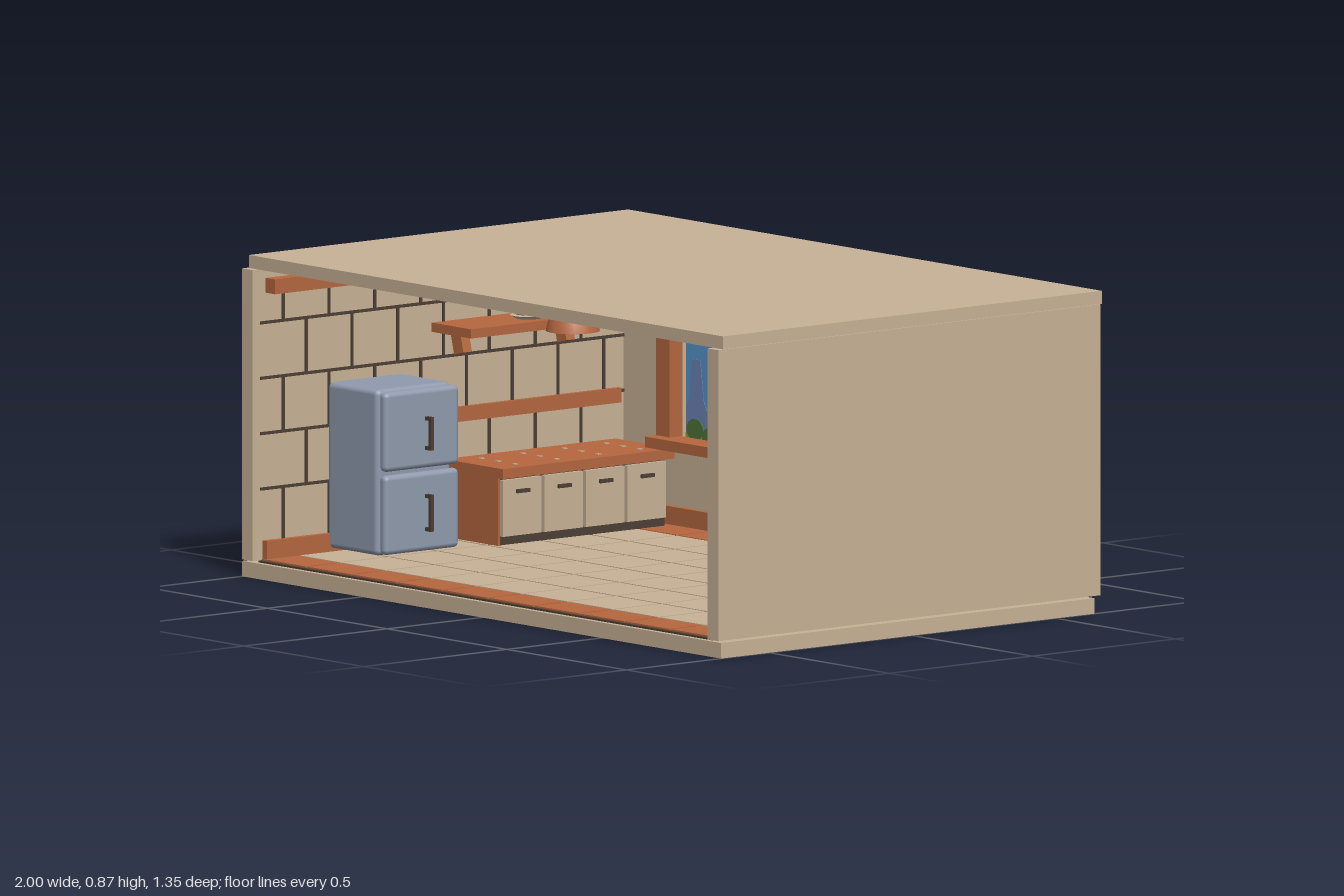
import * as THREE from 'three';
import { RoundedBoxGeometry } from 'three/addons/geometries/RoundedBoxGeometry.js';

const mat = (name, color, side = THREE.FrontSide) => {
  const m = new THREE.MeshStandardMaterial({ color, side });
  m.name = name;
  return m;
};

export function createModel() {
  const root = new THREE.Group();
  root.name = 'kitchenRoom';
  const sand = mat('sand', 0xc8b296), clay = mat('terracotta', 0xb5673f), steel = mat('steel', 0x909bae);
  const sky = mat('skyBlue', 0x5595cd), cloud = mat('cloudGrey', 0x8f9aab), haze = mat('hazeBlue', 0x6c84b4);
  const mauve = mat('mauveRock', 0x8a7270), lime = mat('grassGreen', 0x8ca42a), leaf = mat('bushGreen', 0x4f7438);
  const dark = mat('darkBrown', 0x4d4036);

  const add = (name, geo, m, parent = root) => {
    const mesh = new THREE.Mesh(geo, m);
    mesh.name = name;
    parent.add(mesh);
    return mesh;
  };
  const group = (name) => {
    const g = new THREE.Group();
    g.name = name;
    root.add(g);
    return g;
  };
  // box given by its limits, optionally with rounded edges
  const box = (name, m, [x0, x1], [y0, y1], [z0, z1], parent = root, r = 0) => {
    const s = [x1 - x0, y1 - y0, z1 - z0];
    const geo = r ? new RoundedBoxGeometry(...s, 2, r) : new THREE.BoxGeometry(...s);
    const mesh = add(name, geo, m, parent);
    mesh.position.set((x0 + x1) / 2, (y0 + y1) / 2, (z0 + z1) / 2);
    return mesh;
  };
  const rect = (P, x0, x1, y0, y1) => new P([[x0, y0], [x1, y0], [x1, y1], [x0, y1]].map((p) => new THREE.Vector2(...p)));

  // shell: floor slab, roof, side walls, back wall with window opening
  box('floorSlab', sand, [-1, 1], [0, 0.042], [-0.635, 0.67]);
  box('roof', sand, [-0.99, 0.99], [0.835, 0.87], [-0.67, 0.655]);
  for (const s of [-1, 1]) {
    const w = box('sideWall', sand, [-0.0225, 0.0225], [0.047, 0.835], [-0.66, 0.675]);
    w.position.x = s * 0.9725;
  }
  const wall = rect(THREE.Shape, -0.95, 0.95, 0.047, 0.835);
  wall.holes.push(rect(THREE.Path, -0.72, 0.76, 0.27, 0.75));
  add('backWall', new THREE.ExtrudeGeometry(wall, { depth: 0.04, bevelEnabled: false }), sand).position.z = -0.66;
  box('floorBed', dark, [-0.95, 0.95], [0.038, 0.047], [-0.63, 0.655]);

  // floor tiles with terracotta rows at the front and back
  const floor = group('floorTiles');
  const rows = [[-0.615, -0.49], [0.53, 0.65]];
  for (let i = 0; i < 6; i++) rows.push([-0.49 + i * 0.17, -0.32 + i * 0.17]);
  rows.forEach(([z0, z1], r) => {
    for (let i = 0; i < 10; i++) {
      const x = -0.95 + i * 0.19;
      box('floorTile', r < 2 ? clay : sand, [x + 0.004, x + 0.186], [0.045, 0.051], [z0 + 0.004, z1 - 0.004], floor);
    }
  });

  // skirting, side wall grout lines and ceiling beams
  const trim = group('wallTrim');
  box('backSkirting', clay, [-0.93, 0.93], [0.05, 0.1], [-0.62, -0.605], trim);
  box('backBeam', clay, [-0.95, 0.95], [0.79, 0.833], [-0.62, -0.57], trim);
  for (const x of [-0.245, 0.24]) box('panelJoint', dark, [x - 0.004, x + 0.004], [0.115, 0.262], [-0.621, -0.617], trim);
  for (const s of [-1, 1]) {
    const limits = (a, b) => (s > 0 ? [a, b] : [-b, -a]);
    box('sideSkirting', clay, limits(0.932, 0.95), [0.05, 0.1], [-0.62, 0.64], trim);
    box('sideBeam', clay, limits(0.91, 0.95), [0.77, 0.81], [-0.62, 0.63], trim);
    for (let y = 0.24; y < 0.75; y += 0.15) box('grout', dark, limits(0.946, 0.951), [y - 0.004, y + 0.004], [-0.62, 0.65], trim);
    for (let r = 0; r < 5; r++) {
      for (let z = -0.55 + (r % 2) * 0.08; z < 0.65; z += 0.16) {
        const y = 0.1 + r * 0.15;
        box('grout', dark, limits(0.946, 0.951), [Math.max(0.1, y - 0.01), Math.min(0.77, y + 0.14)], [z - 0.004, z + 0.004], trim);
      }
    }
  }

  // window frame with posts, sill and corner braces
  const frame = group('windowFrame');
  for (const [a, b] of [[-0.765, -0.71], [-0.38, -0.33], [0.32, 0.37], [0.71, 0.76]])
    box('windowPost', clay, [a, b], [0.27, 0.79], [-0.625, -0.58], frame);
  box('windowHeader', clay, [-0.765, 0.76], [0.75, 0.79], [-0.62, -0.575], frame);
  box('windowSill', clay, [-0.765, 0.775], [0.263, 0.292], [-0.62, -0.54], frame);
  for (const s of [-1, 1])
    box('cornerBrace', clay, [s * 0.69 - 0.025, s * 0.69 + 0.025], [0.712, 0.74], [-0.63, -0.585], frame).rotation.z = -s * -0.75;

  // painted landscape: stacked thin plates, each layer thicker so it shows from both sides
  const view = group('landscape');
  const plate = (name, m, layer, shape) => {
    const depth = 0.002 + layer * 0.0013;
    add(name, new THREE.ExtrudeGeometry(shape, { depth, bevelEnabled: false, curveSegments: 8 }), m, view).position.z = -0.648 - depth / 2;
  };
  const poly = (name, m, layer, pts) => plate(name, m, layer, new THREE.Shape(pts.map((p) => new THREE.Vector2(...p))));
  const disc = (name, m, layer, x, y, rx, ry = rx) =>
    plate(name, m, layer, new THREE.Shape().absellipse(x, y, rx, ry, 0, Math.PI * 2));
  plate('sky', sky, 0, rect(THREE.Shape, -0.72, 0.76, 0.27, 0.75));
  for (const [x, y, w] of [[-0.6, 0.63, 0.12], [-0.43, 0.51, 0.07], [-0.27, 0.5, 0.05], [0.28, 0.49, 0.045], [0.42, 0.54, 0.06], [0.65, 0.57, 0.09]]) {
    disc('cloud', cloud, 1, x, y, w, w * 0.27);
    disc('cloud', cloud, 1, x - w * 0.28, y + w * 0.32, w * 0.48, w * 0.42);
    disc('cloud', cloud, 1, x + w * 0.35, y + w * 0.15, w * 0.4, w * 0.32);
  }
  for (const [x, top, w] of [[-0.675, 0.5, 0.03], [-0.57, 0.52, 0.03], [-0.5, 0.41, 0.05], [-0.4, 0.46, 0.03], [0.29, 0.44, 0.03], [0.42, 0.53, 0.03], [0.48, 0.46, 0.03], [0.6, 0.41, 0.04], [0.69, 0.43, 0.03]])
    poly('distantButte', haze, 2, [[x - w * 1.5, 0.28], [x - w * 1.4, 0.37], [x - w, 0.4], [x - w * 0.7, top], [x + w * 0.5, top], [x + w, 0.39], [x + w * 1.5, 0.36], [x + w * 1.5, 0.28]]);
  poly('distantRidge', haze, 2, [[-0.72, 0.28], [-0.72, 0.37], [-0.5, 0.36], [-0.28, 0.38], [-0.28, 0.28]]);
  poly('distantRidge', haze, 2, [[0.2, 0.28], [0.2, 0.36], [0.45, 0.38], [0.76, 0.36], [0.76, 0.28]]);
  poly('shadedRock', mauve, 3, [[-0.3, 0.3], [-0.26, 0.38], [-0.24, 0.43], [-0.19, 0.45], [-0.14, 0.5], [-0.08, 0.5], [-0.07, 0.6], [-0.05, 0.68], [-0.02, 0.7], [0.02, 0.5], [0.09, 0.48], [0.1, 0.59], [0.13, 0.645], [0.15, 0.45], [0.15, 0.3]]);
  poly('sunlitRock', sand, 4, [[-0.16, 0.33], [-0.12, 0.37], [-0.07, 0.39], [-0.06, 0.46], [-0.035, 0.52], [-0.04, 0.67], [-0.02, 0.7], [0, 0.68], [0.01, 0.56], [0.03, 0.49], [0.08, 0.47], [0.11, 0.49], [0.115, 0.6], [0.13, 0.645], [0.148, 0.62], [0.155, 0.5], [0.18, 0.46], [0.185, 0.41], [0.2, 0.39], [0.2, 0.33]]);
  disc('sunlitBoulder', sand, 4, -0.175, 0.445, 0.03);
  poly('grass', lime, 5, [[-0.72, 0.27], [-0.72, 0.3], [-0.5, 0.31], [-0.35, 0.33], [-0.22, 0.36], [-0.1, 0.355], [0.05, 0.345], [0.2, 0.35], [0.3, 0.325], [0.5, 0.3], [0.76, 0.29], [0.76, 0.27]]);
  for (const [x, y, r] of [[-0.68, 0.31, 0.035], [-0.62, 0.295, 0.03], [-0.46, 0.32, 0.03], [-0.4, 0.32, 0.035], [-0.33, 0.35, 0.03], [-0.28, 0.35, 0.025], [-0.24, 0.355, 0.02], [0.25, 0.34, 0.03], [0.3, 0.33, 0.04], [0.39, 0.32, 0.04], [0.45, 0.305, 0.03], [0.54, 0.3, 0.025], [0.65, 0.3, 0.03], [0.71, 0.31, 0.04]])
    disc('bush', leaf, 5.5, x, y, r, r * 0.85);

  // fridge, doors facing into the room
  const fridge = group('fridge');
  box('fridgeBody', steel, [-0.945, -0.735], [0.06, 0.51], [0.16, 0.42], fridge, 0.015);
  for (const [y0, y1, h0, h1] of [[0.065, 0.28, 0.12, 0.22], [0.29, 0.505, 0.34, 0.43]]) {
    box('fridgeDoor', steel, [-0.73, -0.7], [y0, y1], [0.16, 0.42], fridge, 0.014);
    box('fridgeHandle', dark, [-0.686, -0.676], [h0, h1], [0.27, 0.282], fridge);
    for (const y of [h0, h1 - 0.01]) box('handleMount', dark, [-0.702, -0.68], [y, y + 0.01], [0.27, 0.282], fridge);
  }

  // counter along the left wall with tiled top and cupboard fronts
  const counter = group('counter');
  box('counterBody', dark, [-0.945, -0.73], [0.05, 0.235], [-0.58, 0], counter);
  box('counterTop', clay, [-0.947, -0.7], [0.235, 0.262], [-0.59, 0.01], counter);
  box('splashStrip', clay, [-0.949, -0.935], [0.36, 0.4], [-0.6, 0.05], counter);
  box('counterEnd', clay, [-0.945, -0.725], [0.05, 0.235], [0, 0.006], counter);
  for (let i = 0; i < 4; i++) {
    const z = -0.575 + i * 0.145;
    box('cupboardFront', sand, [-0.73, -0.718], [0.075, 0.228], [z, z + 0.135], counter);
    box('cupboardHandle', dark, [-0.718, -0.71], [0.19, 0.2], [z + 0.045, z + 0.09], counter);
    for (let j = 0; j < 3; j++) box('topTileDot', sand, [-0.895 + j * 0.07, -0.882 + j * 0.07], [0.26, 0.264], [z + 0.06, z + 0.073], counter);
  }

  // wall shelf with bracket and plates
  const shelf = group('wallShelf');
  box('shelfBoard', clay, [-0.95, -0.785], [0.61, 0.635], [-0.45, 0.05], shelf);
  for (const z of [-0.38, -0.02]) box('shelfBracket', clay, [-0.93, -0.89], [0.55, 0.612], [z - 0.015, z + 0.015], shelf).rotation.z = 0.25;
  for (let i = 0; i < 4; i++) add('plate', new THREE.CylinderGeometry(0.05, 0.035, 0.009, 20), sand, shelf).position.set(-0.845, 0.641 + i * 0.011, -0.2);

  // stove
  const stove = group('stove');
  box('stoveBody', steel, [0.72, 0.945], [0.052, 0.215], [-0.15, 0.15], stove, 0.008);
  box('stoveTop', steel, [0.705, 0.945], [0.215, 0.232], [-0.155, 0.155], stove);
  box('ovenDoor', steel, [0.7, 0.72], [0.065, 0.165], [-0.13, 0.13], stove, 0.008);
  box('ovenHandle', dark, [0.688, 0.697], [0.14, 0.15], [-0.1, 0.1], stove);
  for (const z of [-0.075, 0.075]) {
    for (const x of [0.77, 0.87]) add('burner', new THREE.CylinderGeometry(0.036, 0.036, 0.012, 20), dark, stove).position.set(x, 0.238, z);
    for (const d of [-0.03, 0.03]) {
      const knob = add('stoveKnob', new THREE.CylinderGeometry(0.012, 0.012, 0.025, 12), clay, stove);
      knob.position.set(0.71, 0.19, z + d);
      knob.rotation.z = Math.PI / 2;
    }
  }

  // extractor hood: rim, tapered cowl and chimney
  const hood = group('extractorHood');
  box('hoodRim', steel, [0.68, 0.947], [0.52, 0.545], [-0.16, 0.16], hood);
  const cowl = new THREE.BoxGeometry(0.26, 0.105, 0.31).toNonIndexed();
  const p = cowl.attributes.position;
  for (let i = 0; i < p.count; i++) {
    if (p.getY(i) > 0) {
      if (p.getX(i) < 0) p.setX(i, 0.035);
      p.setZ(i, p.getZ(i) * 0.35);
    }
  }
  cowl.computeVertexNormals();
  add('hoodCowl', cowl, steel, hood).position.set(0.815, 0.597, 0);
  box('chimney', steel, [0.848, 0.945], [0.645, 0.83], [-0.055, 0.055], hood);

  // ladle hanging on the back wall
  const ladle = group('ladle');
  box('ladleHandle', dark, [0.894, 0.9], [0.35, 0.44], [-0.615, -0.609], ladle);
  box('ladleBowl', dark, [0.88, 0.897], [0.305, 0.38], [-0.618, -0.606], ladle, 0.005);
  add('ladleHook', new THREE.TorusGeometry(0.008, 0.003, 6, 12), dark, ladle).position.set(0.902, 0.44, -0.612);

  // pendant lamps
  const shade = new THREE.LatheGeometry([[0.073, 0.668], [0.068, 0.69], [0.047, 0.745], [0.02, 0.752], [0, 0.755]].map((q) => new THREE.Vector2(...q)), 20);
  const shadeMat = clay;
  shadeMat.side = THREE.DoubleSide;
  for (const x of [-0.42, 0.42]) {
    const lamp = group('pendantLamp');
    lamp.position.x = x;
    add('lampShade', shade, shadeMat, lamp);
    add('lampRod', new THREE.CylinderGeometry(0.006, 0.006, 0.09, 8), dark, lamp).position.y = 0.793;
    add('lampBulb', new THREE.SphereGeometry(0.022, 12, 8), sand, lamp).position.y = 0.695;
  }
  return root;
}
